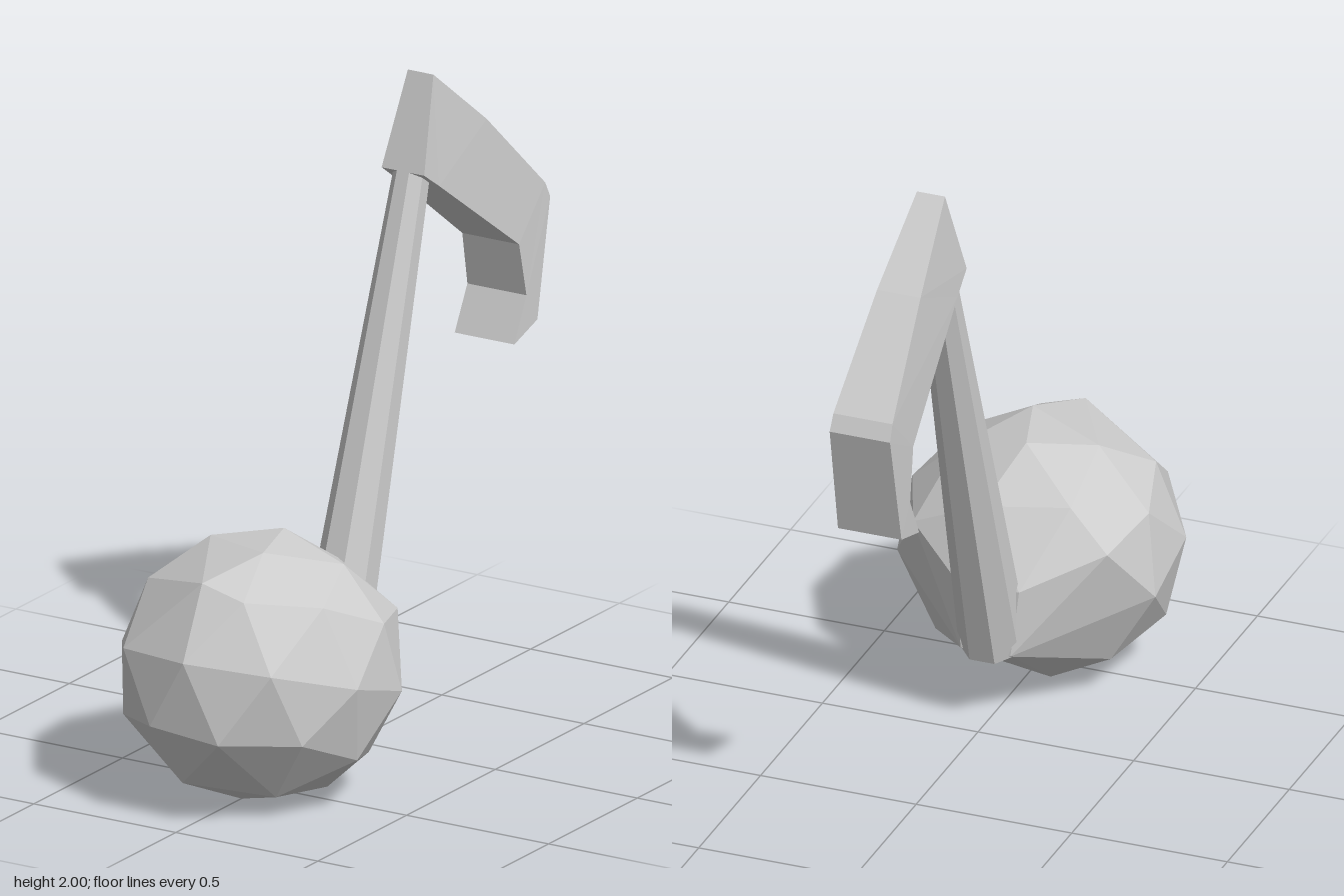
import * as THREE from 'three';
import { ConvexGeometry } from 'three/addons/geometries/ConvexGeometry.js';

const material = new THREE.MeshStandardMaterial({ color: 0xcccccc, flatShading: true });

function addMesh(group, name, geometry) {
  const mesh = new THREE.Mesh(geometry, material);
  mesh.name = name;
  group.add(mesh);
  return mesh;
}

// Faceted boulder-like note head, tapering towards the foot of the stem
function headGeometry() {
  const points = [
    // crown
    [0.07, 0.785, 0.62], [0, 0.785, 0.39], [-0.19, 0.76, 0.5], [-0.02, 0.73, 0.82],
    [0.12, 0.69, 0.81], [0.23, 0.72, 0.42], [0.07, 0.65, 0.2], [-0.19, 0.66, 0.27],
    // upper ring
    [0.3, 0.66, 0.65], [-0.31, 0.65, 0.66], [0.39, 0.57, 0.45], [-0.37, 0.59, 0.45],
    [0, 0.52, 0.96], [-0.26, 0.5, 0.88], [0.26, 0.5, 0.88], [0.3, 0.54, 0.23], [-0.32, 0.54, 0.24],
    // waist
    [0.415, 0.42, 0.64], [-0.415, 0.425, 0.64], [0.415, 0.345, 0.39], [-0.415, 0.345, 0.39],
    [0.1, 0.45, 0.08], [-0.1, 0.45, 0.08],
    // lower ring
    [0.12, 0.28, 0.955], [-0.12, 0.3, 0.955], [0.32, 0.27, 0.8], [-0.31, 0.26, 0.8],
    [0.37, 0.17, 0.57], [-0.37, 0.18, 0.59], [0.08, 0.24, 0.06], [-0.08, 0.24, 0.06],
    // underside
    [-0.07, 0.1, 0.85], [0.19, 0.07, 0.74], [-0.22, 0.065, 0.65], [0, 0, 0.63],
    [-0.07, 0, 0.41], [0.19, 0.02, 0.45], [-0.28, 0.12, 0.37], [0.28, 0.12, 0.36],
  ];
  return new ConvexGeometry(points.map((p) => new THREE.Vector3(...p)));
}

// Flag lofted through four-cornered sections: outer z, y, half width, inner z, y, half width
function flagGeometry() {
  const sections = [
    [-0.38, 2.0, 0.045, -0.28, 1.715, 0.075],
    [-0.64, 1.79, 0.07, -0.36, 1.66, 0.078],
    [-0.93, 1.51, 0.095, -0.775, 1.36, 0.1],
    [-0.955, 1.46, 0.097, -0.81, 1.19, 0.104],
    [-0.875, 1.095, 0.102, -0.74, 1.055, 0.105],
  ];
  const positions = [];
  for (const [oz, oy, ow, iz, iy, iw] of sections) {
    positions.push(ow, oy, oz, iw, iy, iz, -iw, iy, iz, -ow, oy, oz);
  }
  const index = [];
  const quad = (a, b, c, d) => index.push(a, b, c, a, c, d);
  const last = (sections.length - 1) * 4;
  for (let s = 0; s < last; s += 4) {
    for (let j = 0; j < 4; j++) {
      const k = (j + 1) % 4;
      quad(s + j, s + k, s + 4 + k, s + 4 + j);
    }
  }
  quad(0, 3, 2, 1);
  quad(last, last + 1, last + 2, last + 3);
  const geometry = new THREE.BufferGeometry();
  geometry.setAttribute('position', new THREE.Float32BufferAttribute(positions, 3));
  geometry.setIndex(index);
  const flat = geometry.toNonIndexed();
  flat.computeVertexNormals();
  return flat;
}

export function createModel() {
  const group = new THREE.Group();
  group.name = 'musicNote';

  addMesh(group, 'noteHead', headGeometry());

  // Eight-sided tapering stem leaning back from the head
  const foot = new THREE.Vector3(0, 0.25, 0.125);
  const tip = new THREE.Vector3(0, 1.7, -0.33);
  const axis = tip.clone().sub(foot);
  const stem = addMesh(group, 'stem',
    new THREE.CylinderGeometry(0.056, 0.105, axis.length(), 8, 1, false, Math.PI / 8));
  stem.position.copy(foot).lerp(tip, 0.5);
  stem.rotation.x = Math.atan2(axis.z, axis.y);

  addMesh(group, 'flag', flagGeometry());
  return group;
}
